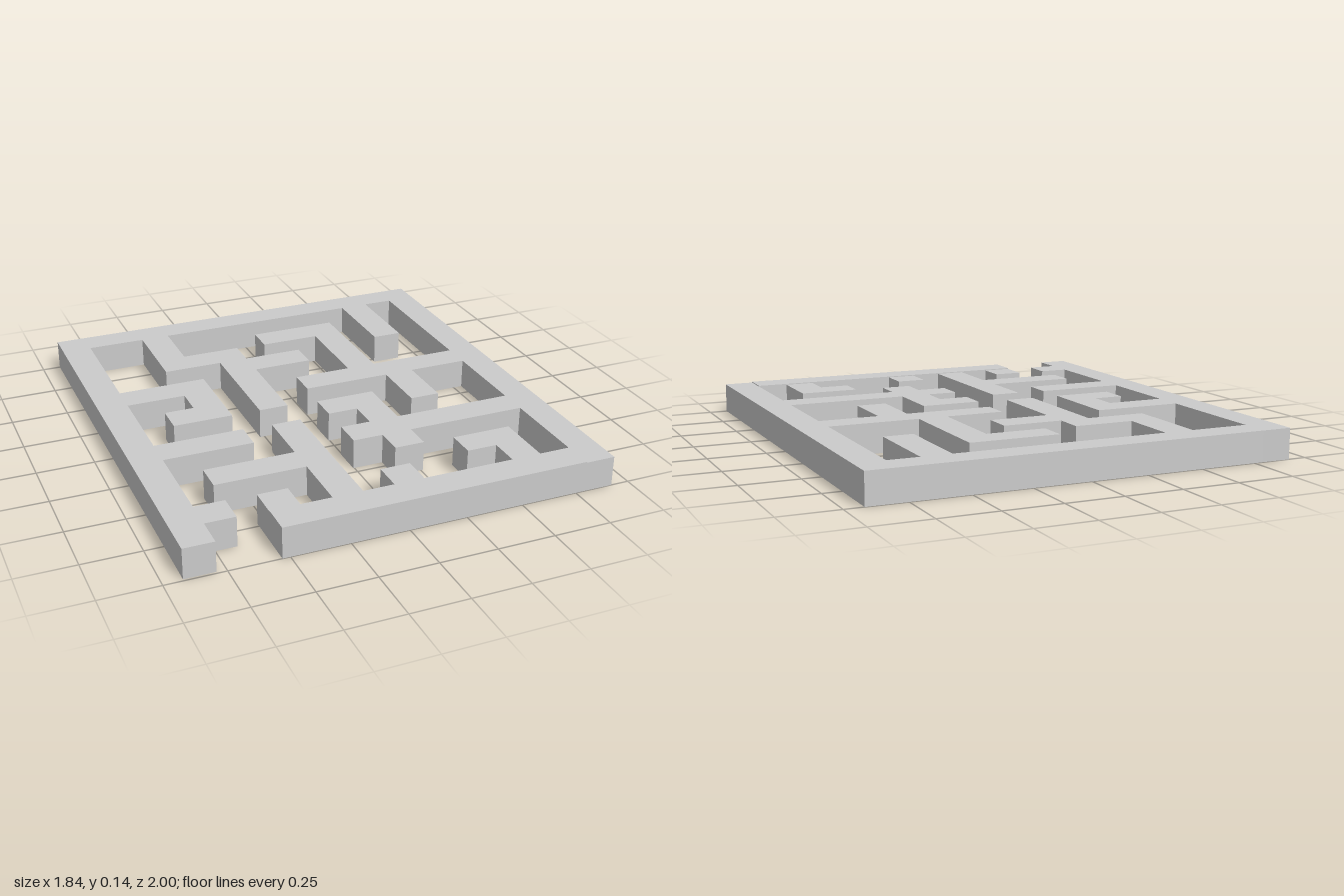
import * as THREE from 'three';

const HEIGHT = 0.132;

// Each wall run is a list of abutting blocks: [x0, x1, z0, z1]
const walls = {
  leftWall: [[-0.92, -0.79, -1, 0.99]],
  backWall: [[-0.79, 0.79, -1, -0.873]],
  rightWall: [[0.79, 0.92, -1, 1]],
  frontWall: [[-0.533, 0.79, 0.867, 1]],
  backBranch: [
    [-0.533, -0.404, -0.873, -0.477],
    [-0.404, -0.14, -0.607, -0.477],
    [-0.27, -0.14, -0.477, 0.055],
    [-0.14, 0.125, -0.477, -0.345],
  ],
  backFinger: [[0.525, 0.655, -0.873, -0.475]],
  leftHook: [
    [-0.79, -0.397, -0.34, -0.207],
    [-0.53, -0.397, -0.207, 0.055],
    [-0.66, -0.53, -0.077, 0.055],
  ],
  leftBar: [[-0.79, -0.397, 0.194, 0.326]],
  leftStub: [[-0.79, -0.66, 0.723, 0.855]],
  frontBranch: [
    [-0.27, -0.14, 0.203, 0.867],
    [-0.665, -0.27, 0.466, 0.597],
  ],
  frontStubs: [
    [-0.533, -0.404, 0.73, 0.867],
    [-0.005, 0.126, 0.73, 0.867],
  ],
  frontHook: [
    [0.525, 0.655, 0.6, 0.867],
    [0.393, 0.525, 0.6, 0.727],
  ],
  rightUpperBranch: [
    [0.003, 0.79, -0.195, -0.066],
    [0.26, 0.39, -0.595, -0.195],
    [-0.005, 0.39, -0.724, -0.595],
    [0.393, 0.525, -0.066, 0.2],
  ],
  rightLowerBranch: [
    [-0.005, 0.79, 0.335, 0.466],
    [0.128, 0.26, 0.2, 0.335],
    [-0.005, 0.26, 0.07, 0.2],
    [0.128, 0.26, 0.466, 0.59],
  ],
};

export function createModel() {
  const model = new THREE.Group();
  model.name = 'maze';
  const material = new THREE.MeshStandardMaterial({ color: 0xcccccc, flatShading: true });

  for (const [name, blocks] of Object.entries(walls)) {
    const run = new THREE.Group();
    run.name = name;
    // The front wall stands a hair taller than the rest
    const h = name === 'frontWall' ? HEIGHT + 0.004 : HEIGHT;
    blocks.forEach(([x0, x1, z0, z1], i) => {
      const block = new THREE.Mesh(new THREE.BoxGeometry(x1 - x0, h, z1 - z0), material);
      block.name = `${name}Block${i + 1}`;
      block.position.set((x0 + x1) / 2, h / 2, (z0 + z1) / 2);
      run.add(block);
    });
    model.add(run);
  }
  return model;
}
